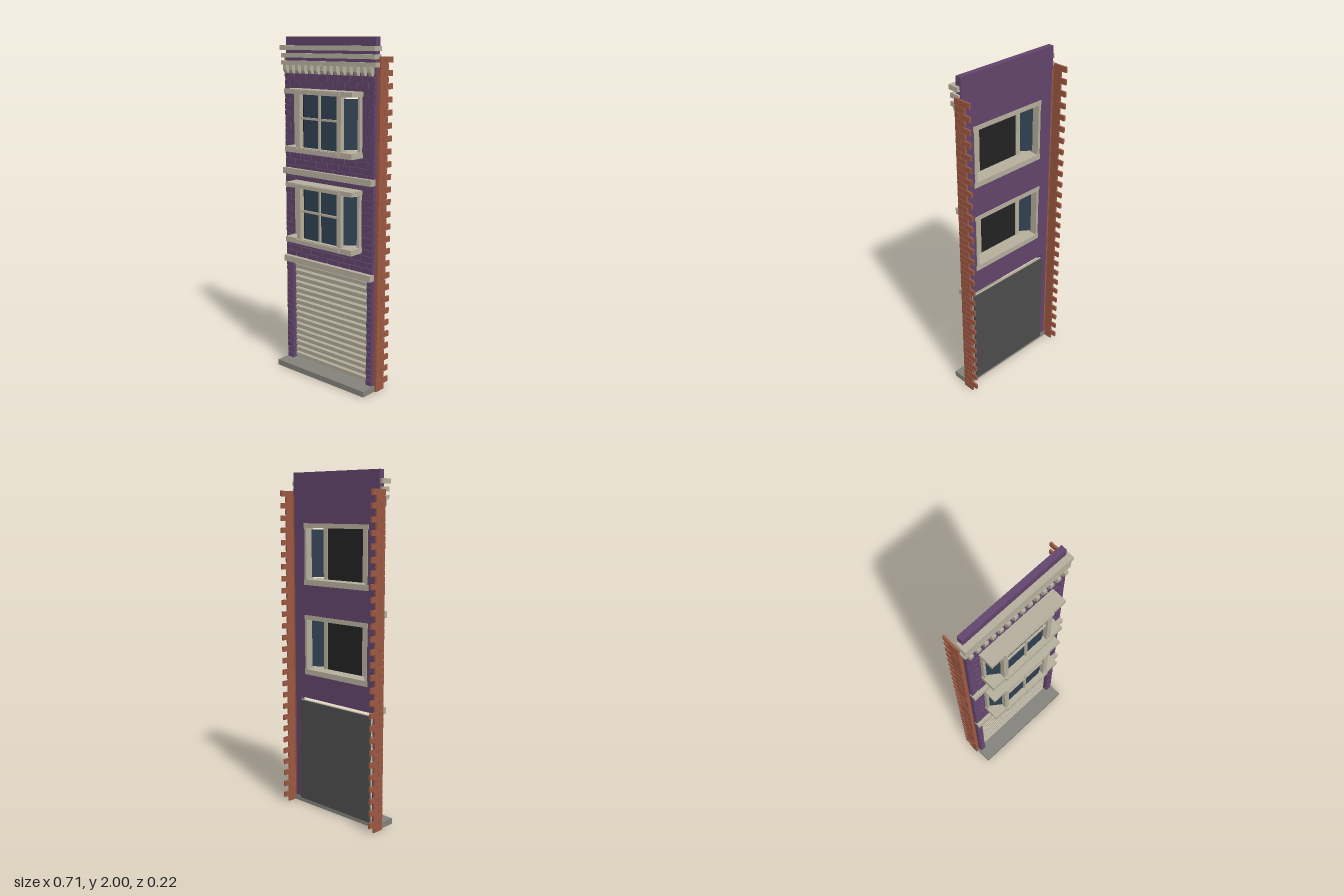
import * as THREE from 'three';
import { mergeGeometries } from 'three/addons/utils/BufferGeometryUtils.js';

const mat = (name, color) => {
  const m = new THREE.MeshStandardMaterial({ color });
  m.name = name;
  return m;
};

// box given by its limits on each axis
function span(x0, x1, y0, y1, z0, z1) {
  return new THREE.BoxGeometry(x1 - x0, y1 - y0, z1 - z0)
    .translate((x0 + x1) / 2, (y0 + y1) / 2, (z0 + z1) / 2);
}

export function createModel() {
  const purple = mat('purplePaint', 0x62446c);
  const stone = mat('paleStone', 0xb5ae9c);
  const brick = mat('redBrick', 0x9c5842);
  const step = mat('greyStone', 0x83817a);
  const glass = mat('blueGlass', 0x2f4050);
  const dark = mat('darkInterior', 0x222222);
  const panelGrey = mat('panelGrey', 0x4c4c4c);

  const model = new THREE.Group();
  const add = (name, geometry, material, parent = model) => {
    const mesh = new THREE.Mesh(geometry, material);
    mesh.name = name;
    parent.add(mesh);
    return mesh;
  };
  const box = (name, m, lim, parent) => add(name, span(...lim), m, parent);

  // wall with two window openings and the shutter opening
  const windowBases = [0.817, 1.354];
  const winH = 0.358;
  const outline = new THREE.Shape();
  [[-0.333, 0.02], [-0.292, 0.02], [-0.292, 0.672], [0.292, 0.672], [0.292, 0.02],
    [0.333, 0.02], [0.333, 1.875], [-0.333, 1.875]]
    .forEach(([x, y], i) => (i ? outline.lineTo(x, y) : outline.moveTo(x, y)));
  for (const y of windowBases) {
    const hole = new THREE.Path();
    hole.moveTo(-0.246, y + 0.005);
    hole.lineTo(-0.246, y + winH - 0.005);
    hole.lineTo(0.246, y + winH - 0.005);
    hole.lineTo(0.246, y + 0.005);
    outline.holes.push(hole);
  }
  add('wall', new THREE.ExtrudeGeometry(outline, { depth: 0.032, bevelEnabled: false })
    .translate(0, 0, -0.023), purple);
  box('parapet', purple, [-0.331, 0.331, 1.87, 2, -0.029, 0.006]);

  // raised painted bricks, toothed around the openings
  const course = 0.0352, gap = 0.007;
  const painted = [];
  const layBricks = (x0, x1, y, offset) => {
    const length = 0.084;
    for (let x = x0 - offset; x < x1 - 0.005; x += length) {
      const a = Math.max(x, x0), b = Math.min(x + length - gap, x1);
      if (b - a > 0.012) painted.push(span(a, b, y, y + course - gap, 0.005, 0.018));
    }
  };
  for (let i = 1; i < 51; i++) {
    const y = i * course + 0.003;
    const top = y + course;
    const odd = i % 2;
    const atWindow = windowBases.some((b) => top > b && y < b + winH);
    if (top < 0.68 || atWindow) {
      const inner = top < 0.68 ? (odd ? 0.296 : 0.305) : (odd ? 0.258 : 0.292);
      for (const s of [-1, 1]) {
        const ends = [s * inner, s * 0.332].sort((a, b) => a - b);
        painted.push(span(ends[0], ends[1], y, top - gap, 0.005, 0.018));
      }
    } else if (y > 0.69) {
      layBricks(-0.332, 0.332, y, odd * 0.042);
    }
  }
  add('paintedBricks', mergeGeometries(painted), purple);

  // toothed red brick returns on both sides
  for (const s of [-1, 1]) {
    const parts = [];
    const put = (x0, x1, y0, y1, z0, z1) =>
      parts.push(span(Math.min(s * x0, s * x1), Math.max(s * x0, s * x1), y0, y1, z0, z1));
    for (let i = 0; i < 54; i++) {
      const y0 = i * course, y1 = y0 + course - 0.004;
      if (i % 2) {
        put(0.344, 0.355, y0, y1, -0.04, -0.006);
        put(0.344, 0.355, y0, y1, -0.113, -0.043);
      } else {
        put(0.344, 0.355, y0, y1, -0.076, -0.006);
      }
    }
    put(0.332, 0.352, 0, 1.895, -0.023, -0.008);
    put(0.344, 0.352, 0, 1.895, -0.074, -0.008);
    add(s > 0 ? 'leftBrickReturn' : 'rightBrickReturn', mergeGeometries(parts), brick);
  }

  // doorstep, string courses and cornice
  box('doorstep', step, [-0.342, 0.342, 0, 0.034, -0.025, 0.095]);
  box('lowerBand', stone, [-0.334, 0.334, 0.668, 0.705, 0, 0.04]);
  box('middleBand', stone, [-0.334, 0.334, 1.209, 1.245, 0, 0.04]);
  box('corniceTop', stone, [-0.348, 0.348, 1.926, 1.952, -0.023, 0.041]);
  box('corniceMiddle', stone, [-0.345, 0.345, 1.884, 1.909, -0.023, 0.034]);
  box('corniceLower', stone, [-0.348, 0.348, 1.842, 1.867, -0.015, 0.03]);

  // corbels under the cornice
  const corbel = new THREE.Shape();
  corbel.moveTo(0, 1.795);
  corbel.lineTo(0.026, 1.795);
  corbel.lineTo(0.04, 1.815);
  corbel.lineTo(0.04, 1.843);
  corbel.lineTo(0, 1.843);
  const corbelGeo = new THREE.ExtrudeGeometry(corbel, { depth: 0.023, bevelEnabled: false })
    .translate(0, 0, -0.0115).rotateY(-Math.PI / 2);
  for (let i = 0; i < 14; i++) {
    add('corbel', corbelGeo, stone).position.x = (i - 6.5) * 0.048;
  }

  // bay windows
  for (const y of windowBases) {
    const bay = new THREE.Group();
    bay.name = 'bayWindow';
    bay.position.y = y;
    model.add(bay);
    const low = 0.032, high = winH - 0.026;
    box('sill', stone, [-0.252, 0.252, 0, low, -0.026, 0.104], bay);
    box('sillFront', stone, [-0.167, 0.167, 0.003, low - 0.004, 0.1, 0.112], bay);
    box('lintel', stone, [-0.252, 0.252, high, winH, -0.026, 0.104], bay);
    box('lintelFront', stone, [-0.167, 0.167, high + 0.003, winH - 0.003, 0.1, 0.112], bay);
    box('centreGlass', glass, [-0.125, 0.125, low, high, 0.07, 0.077], bay);
    box('interiorBacking', dark, [-0.16, 0.16, low, high, 0.06, 0.068], bay);
    box('verticalBar', stone, [-0.006, 0.006, low, high, 0.076, 0.088], bay);
    box('crossBar', stone, [-0.14, 0.14, 0.191, 0.203, 0.076, 0.088], bay);
    for (const s of [-1, 1]) {
      const mid = s * 0.154, out = s * 0.239;
      box('frontPost', stone, [mid - 0.015, mid + 0.015, low, high, 0.055, 0.098], bay);
      box('wallPost', stone, [out - 0.008, out + 0.008, low, high, -0.026, 0.03], bay);
      // angled side pane
      const dx = 0.068, dz = 0.05;
      const pane = add('sidePane',
        new THREE.BoxGeometry(Math.hypot(dx, dz), high - low - 0.024, 0.006), glass, bay);
      pane.position.set(s * 0.199, (low + high) / 2, 0.045);
      pane.rotation.y = s * Math.atan2(dz, dx);
    }
  }

  // roller shutter
  box('shutterBack', panelGrey, [-0.283, 0.283, 0.03, 0.655, -0.038, -0.027]);
  const slat = new THREE.Shape();
  slat.moveTo(-0.03, 0);
  slat.lineTo(-0.006, 0);
  slat.lineTo(-0.004, 0.024);
  slat.lineTo(-0.018, 0.0345);
  slat.lineTo(-0.03, 0.0345);
  const slatGeo = new THREE.ExtrudeGeometry(slat, { depth: 0.562, bevelEnabled: false })
    .translate(0, 0, -0.281).rotateY(-Math.PI / 2);
  for (let i = 0; i < 16; i++) {
    add('shutterSlat', slatGeo, stone).position.y = 0.045 + i * 0.0385;
  }
  return model;
}
